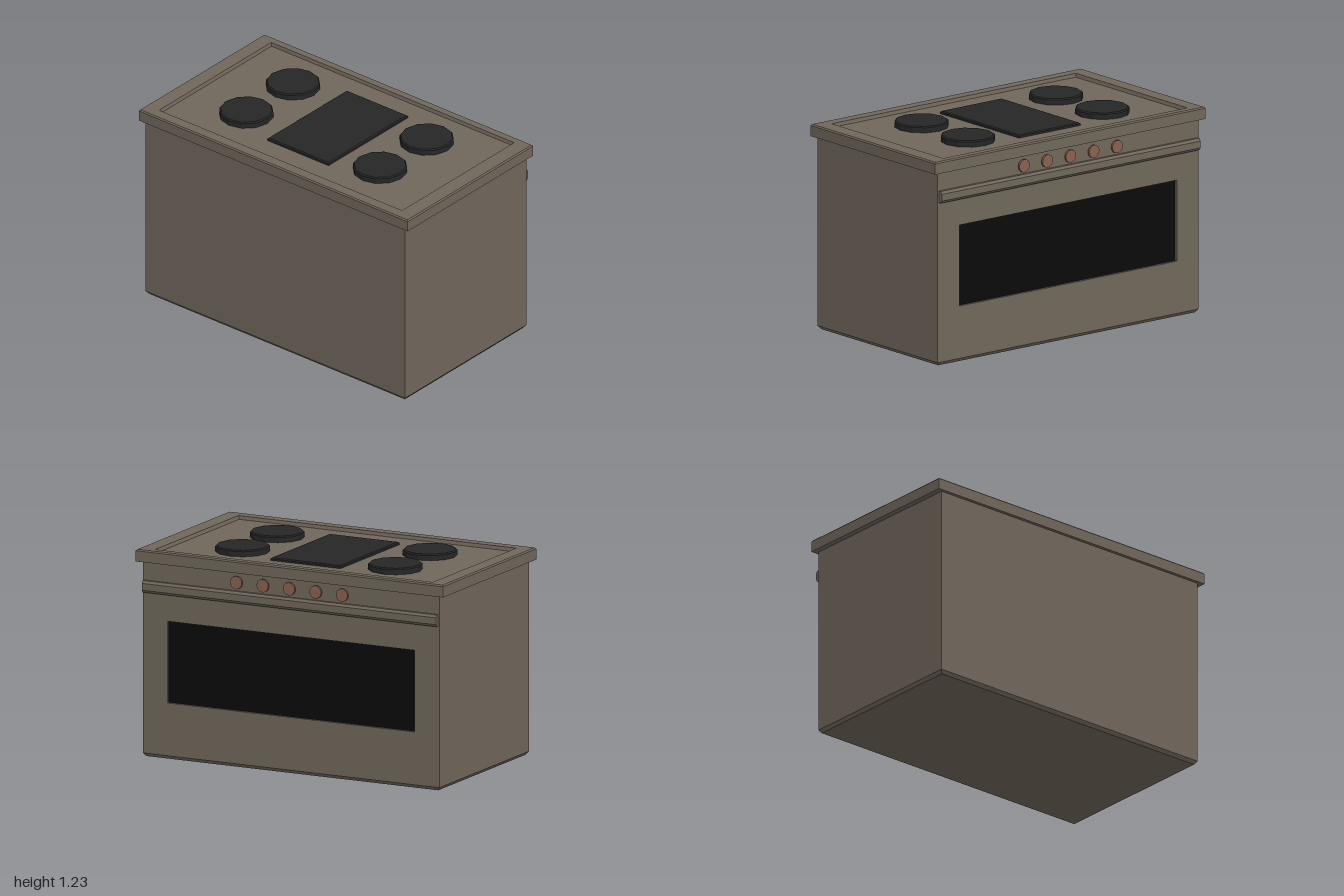
import * as THREE from 'three';

const paint = (color) => new THREE.MeshStandardMaterial({ color, flatShading: true });

// Stacked rectangles [y, x0, x1, z0, z1] joined by flat walls and capped at both ends.
function rectLoft(rings) {
  const pos = [];
  const corners = rings.map(([y, x0, x1, z0, z1]) => [[x0, y, z1], [x1, y, z1], [x1, y, z0], [x0, y, z0]]);
  const quad = (a, b, c, d) => pos.push(...a, ...b, ...c, ...a, ...c, ...d);
  for (let i = 0; i < corners.length - 1; i++) {
    for (let j = 0; j < 4; j++) {
      const k = (j + 1) % 4;
      quad(corners[i][j], corners[i][k], corners[i + 1][k], corners[i + 1][j]);
    }
  }
  const [p, q, r, s] = corners[0];
  quad(s, r, q, p);
  quad(...corners[corners.length - 1]);
  const geo = new THREE.BufferGeometry();
  geo.setAttribute('position', new THREE.Float32BufferAttribute(pos, 3));
  geo.computeVertexNormals();
  return geo;
}

const rectPoints = (x0, x1, y0, y1) => [[x0, y0], [x1, y0], [x1, y1], [x0, y1]].map(([x, y]) => new THREE.Vector2(x, y));

export function createModel() {
  const model = new THREE.Group();
  model.name = 'stove';
  const enamel = paint(0x70675b);
  const iron = paint(0x262626);
  const glass = paint(0x0a0a0a);
  const copper = paint(0x8a6050);

  const add = (name, geo, mat, x = 0, y = 0, z = 0, parent = model) => {
    const mesh = new THREE.Mesh(geo, mat);
    mesh.name = name;
    mesh.position.set(x, y, z);
    parent.add(mesh);
    return mesh;
  };

  // Cabinet with a chamfered foot; its door side is set in to take the door panel
  const w = 0.965, back = -0.54, inset = -0.52;
  add('cabinet', rectLoft([
    [0, -w + 0.015, w - 0.015, back + 0.015, 0.535],
    [0.02, -w, w, back, 0.55],
    [0.02, -w, w, inset, 0.55],
    [1.147, -w, w, inset, 0.55],
  ]), enamel);

  // Door panel with an opening and dark glass behind it
  const panel = new THREE.Shape(rectPoints(-w, w, 0.02, 1.147));
  panel.holes.push(new THREE.Path(rectPoints(-0.805, 0.805, 0.33, 0.81)));
  add('doorPanel', new THREE.ExtrudeGeometry(panel, { depth: inset - back, bevelEnabled: false }), enamel, 0, 0, back);
  add('ovenWindow', new THREE.BoxGeometry(1.61, 0.48, 0.01), glass, 0, 0.57, -0.52);

  // Worktop with a bevelled rim and a sunken cooking surface
  const floor = 1.195;
  add('worktop', rectLoft([
    [1.145, -1, 1, -0.56, 0.57],
    [1.208, -1, 1, -0.56, 0.57],
    [1.216, -0.993, 0.993, -0.553, 0.563],
    [1.216, -0.907, 0.9, -0.51, 0.5],
    [floor, -0.901, 0.894, -0.505, 0.495],
  ]), enamel);

  // Griddle plate
  add('griddle', rectLoft([
    [floor - 0.005, -0.23, 0.225, -0.37, 0.345],
    [1.206, -0.23, 0.225, -0.37, 0.345],
    [1.212, -0.223, 0.218, -0.363, 0.338],
  ]), iron);

  // Four twelve-sided burners with a bevelled top
  const burnerProfile = [[0, 0], [0.157, 0], [0.157, 0.03], [0.15, 0.037], [0, 0.037]]
    .map(([r, y]) => new THREE.Vector2(r, y));
  const burner = new THREE.LatheGeometry(burnerProfile, 12);
  for (const x of [-0.51, 0.485]) {
    for (const z of [-0.225, 0.195]) add('burner', burner, iron, x, floor, z);
  }

  // Full-width door handle rail, profile swept along x
  const rail = new THREE.Shape([[0, 0.967], [0, 1.037], [0.016, 1.037], [0.027, 1.022], [0.027, 0.982], [0.016, 0.967]]
    .map(([z, y]) => new THREE.Vector2(z, y)));
  const railMesh = add('doorHandle',
    new THREE.ExtrudeGeometry(rail, { depth: 1.915, bevelEnabled: false }), enamel, -0.96, 0, back);
  railMesh.rotation.y = Math.PI / 2;
  railMesh.scale.x = 1;
  // the profile points out of the door after a half turn
  railMesh.rotation.y = -Math.PI / 2;
  railMesh.position.x = 0.957;
  railMesh.geometry.scale(-1, 1, 1);
  const index = railMesh.geometry.attributes.position;
  for (let i = 0; i < index.count; i += 3) {
    const a = new THREE.Vector3().fromBufferAttribute(index, i);
    const b = new THREE.Vector3().fromBufferAttribute(index, i + 1);
    index.setXYZ(i, b.x, b.y, b.z);
    index.setXYZ(i + 1, a.x, a.y, a.z);
  }
  railMesh.geometry.computeVertexNormals();

  // Five control knobs, each a stem and a disc
  const stem = new THREE.CylinderGeometry(0.012, 0.012, 0.025, 12).rotateX(Math.PI / 2);
  const disc = new THREE.CylinderGeometry(0.038, 0.038, 0.012, 16).rotateX(Math.PI / 2);
  for (let i = -2; i <= 2; i++) {
    const knob = new THREE.Group();
    knob.name = 'knob';
    knob.position.set(i * 0.172, 1.09, back);
    add('knobStem', stem, copper, 0, 0, -0.01, knob);
    add('knobDisc', disc, copper, 0, 0, -0.021, knob);
    model.add(knob);
  }
  return model;
}
